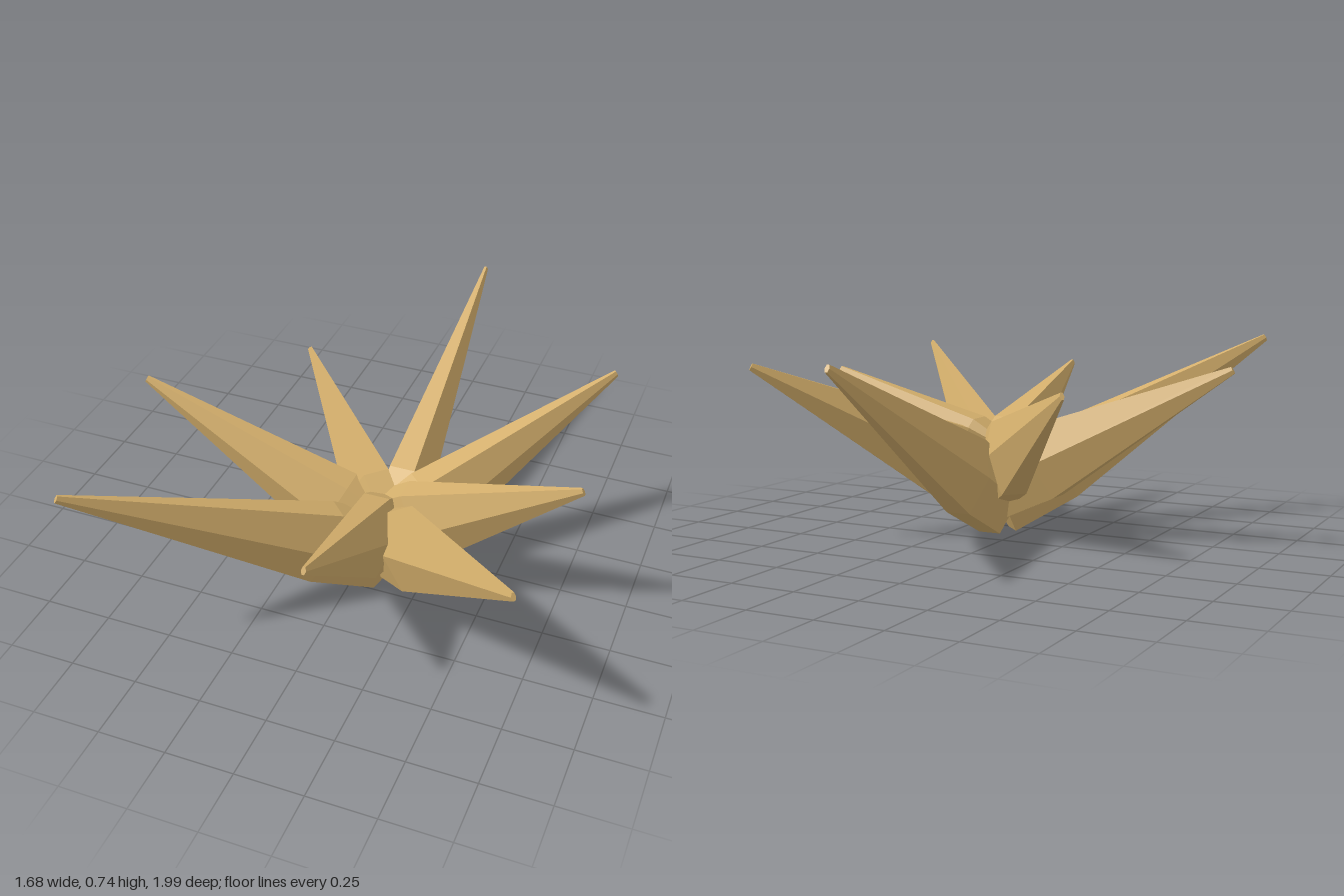
import * as THREE from 'three';

// Three spike sizes: horizontal reach, tip height, base height, reach of the widest ring
const SIZES = [
  { reach: 0.72, tipY: 0.605, baseY: 0.235, ring: 0.145 },
  { reach: 0.945, tipY: 0.67, baseY: 0.185, ring: 0.195 },
  { reach: 1.16, tipY: 0.732, baseY: 0.122, ring: 0.25 },
];

// Six-sided blade, taller than wide, leaning up and out along +x
function spikeGeometry({ reach, tipY, baseY, ring }) {
  const rise = tipY - baseY;
  const length = Math.hypot(reach, rise);
  const tilt = Math.atan2(rise, reach);
  const profile = [
    [0, 0], [0.09, 0], [0.097, ring / Math.cos(tilt)], [0.009, length], [0, length],
  ].map(([r, d]) => new THREE.Vector2(r, d));
  const geometry = new THREE.LatheGeometry(profile, 6);
  geometry.scale(1.75, 1, 1);
  geometry.rotateZ(tilt - Math.PI / 2);
  geometry.translate(0, baseY, 0);
  return geometry;
}

export function createModel() {
  const group = new THREE.Group();
  group.name = 'spikeCluster';
  const straw = new THREE.MeshStandardMaterial({ color: 0xd4af6c, flatShading: true });
  straw.name = 'straw';

  // Eight spikes around a shared centre, cycling short, medium, long
  const geometries = SIZES.map(spikeGeometry);
  for (let i = 0; i < 8; i++) {
    const spike = new THREE.Mesh(geometries[i % 3], straw);
    spike.name = `spike${i + 1}`;
    spike.position.set(0.107, 0, 0.165);
    spike.rotation.y = (i * Math.PI) / 4;
    group.add(spike);
  }
  return group;
}
